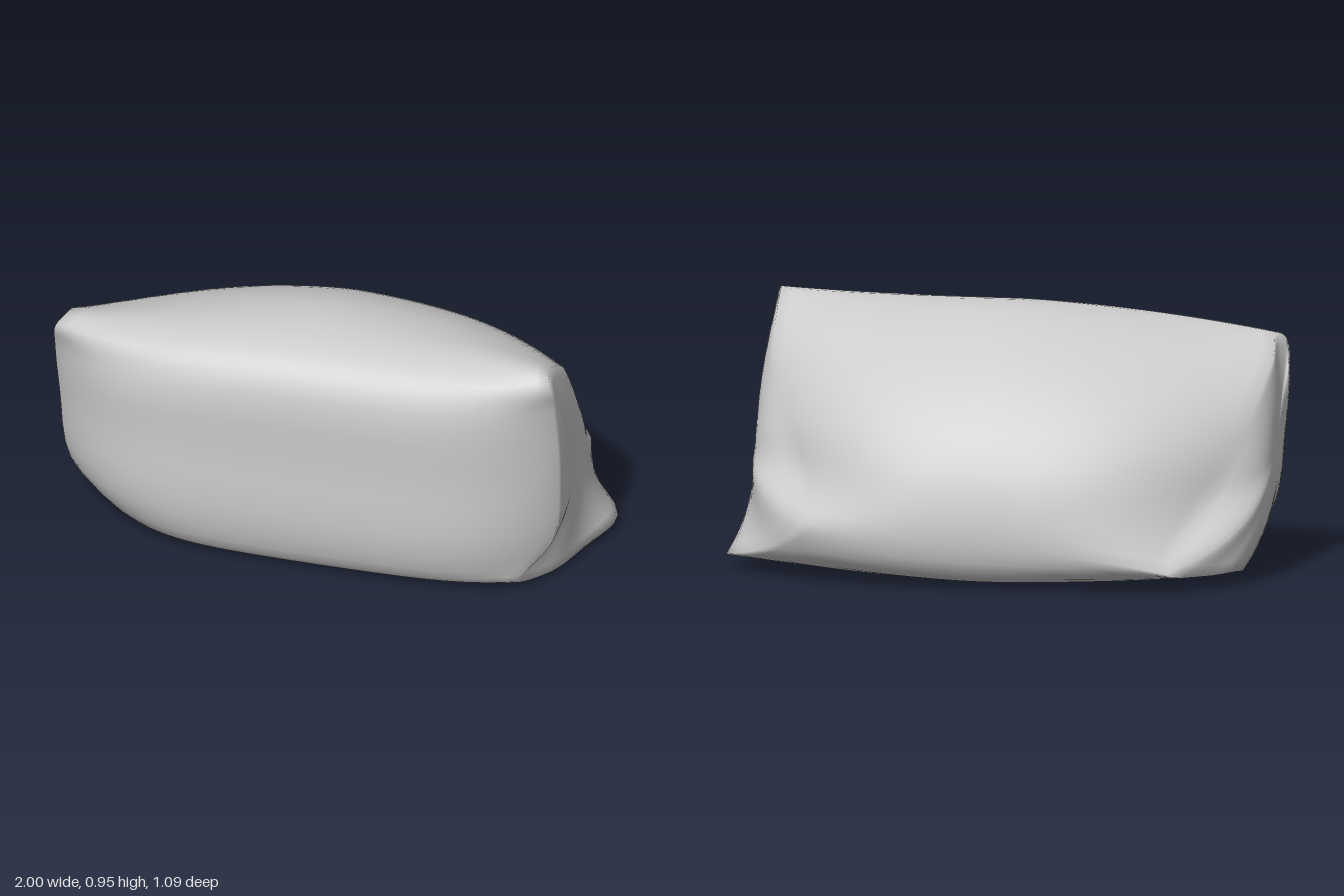
import * as THREE from 'three';
import { mergeVertices } from 'three/addons/utils/BufferGeometryUtils.js';

// Smooth closed loop of points [x, y, z]
const COLS = 64;
const loop = (pts) => {
  const c = new THREE.CatmullRomCurve3(pts.map((p) => new THREE.Vector3(...p)), true);
  return Array.from({ length: COLS }, (_, i) => c.getPoint(i / COLS));
};

// All loops run up the front, over the top, down the back and along the base.
const middle = loop([
  [0, .04, .47], [0, .2, .535], [0, .5, .54], [0, .78, .535],
  [0, .89, .47], [0, .945, .34], [0, .95, .14], [0, .885, -.06],
  [0, .76, -.25], [0, .58, -.41], [0, .39, -.51], [0, .18, -.54],
  [0, .05, -.49], [0, .015, -.25], [0, .01, .1], [0, .01, .33],
]);
// Seam of the +x end, with the pulled-out flap at the base
const leftSeam = loop([
  [.76, .05, .4], [.88, .2, .34], [.91, .5, .35], [.9, .8, .385],
  [.9, .91, .42], [.88, .96, .39], [.87, .9, .24], [.86, .8, .1],
  [.83, .68, -.02], [.78, .54, -.15], [.71, .39, -.27], [.67, .23, -.44],
  [.81, .12, -.33], [1, .055, -.12], [.93, .03, .08], [.86, .03, .27],
]);
// Seam of the -x end, with a smaller folded corner
const rightSeam = loop([
  [-.77, .05, .3], [-.94, .22, .29], [-.985, .5, .28], [-1, .7, .29],
  [-.98, .82, .35], [-.95, .85, .3], [-.96, .78, .16], [-.94, .69, .04],
  [-.91, .59, -.06], [-.86, .46, -.16], [-.77, .3, -.28], [-.67, .08, -.48],
  [-.79, .06, -.38], [-.89, .06, -.25], [-.88, .03, -.03], [-.83, .03, .15],
]);

// Body ring: the seam's x shrinks to the middle while the section swells,
// staying fuller at the front than at the back
const bodyRing = (seam, u) => seam.map((e, i) => {
  const m = middle[i];
  return [
    e.x * u,
    THREE.MathUtils.lerp(m.y, e.y, u ** 1.5),
    THREE.MathUtils.lerp(m.z, e.z, u ** (3.8 + 1.5 * m.z)),
  ];
});

// End panel ring: the seam closes onto a bulging centre
const endRing = (seam, centre, f) => seam.map((e) => [
  THREE.MathUtils.lerp(centre.x, e.x, f ** 3),
  THREE.MathUtils.lerp(centre.y, e.y, f),
  THREE.MathUtils.lerp(centre.z, e.z, f),
]);

function cushionGeometry() {
  const leftCentre = new THREE.Vector3(.92, .45, .12);
  const rightCentre = new THREE.Vector3(-.98, .45, .1);
  const rings = [];
  const END = 10, BODY = 20;
  for (let i = 0; i < END; i++) rings.push(endRing(rightSeam, rightCentre, i / END));
  for (let i = BODY; i > 0; i--) rings.push(bodyRing(rightSeam, i / BODY));
  for (let i = 0; i <= BODY; i++) rings.push(bodyRing(leftSeam, i / BODY));
  for (let i = END - 1; i >= 0; i--) rings.push(endRing(leftSeam, leftCentre, i / END));

  const index = [];
  const last = rings.length - 2;
  for (let r = 0; r <= last; r++) {
    for (let i = 0; i < COLS; i++) {
      const j = (i + 1) % COLS;
      const a = r * COLS + i, b = r * COLS + j;
      const c = a + COLS, d = b + COLS;
      // The first and last rings are single points, so they take one triangle each
      if (r < last) index.push(a, c, d);
      if (r > 0) index.push(a, d, b);
    }
  }
  const g = new THREE.BufferGeometry();
  g.setAttribute('position', new THREE.Float32BufferAttribute(rings.flat(2), 3));
  g.setIndex(index);
  const merged = mergeVertices(g, 1e-5);
  merged.computeVertexNormals();
  return merged;
}

export function createModel() {
  const model = new THREE.Group();
  model.name = 'cushion';
  const body = new THREE.Mesh(
    cushionGeometry(),
    new THREE.MeshStandardMaterial({ color: 0xcccccc }),
  );
  body.name = 'cushionBody';
  model.add(body);
  return model;
}
